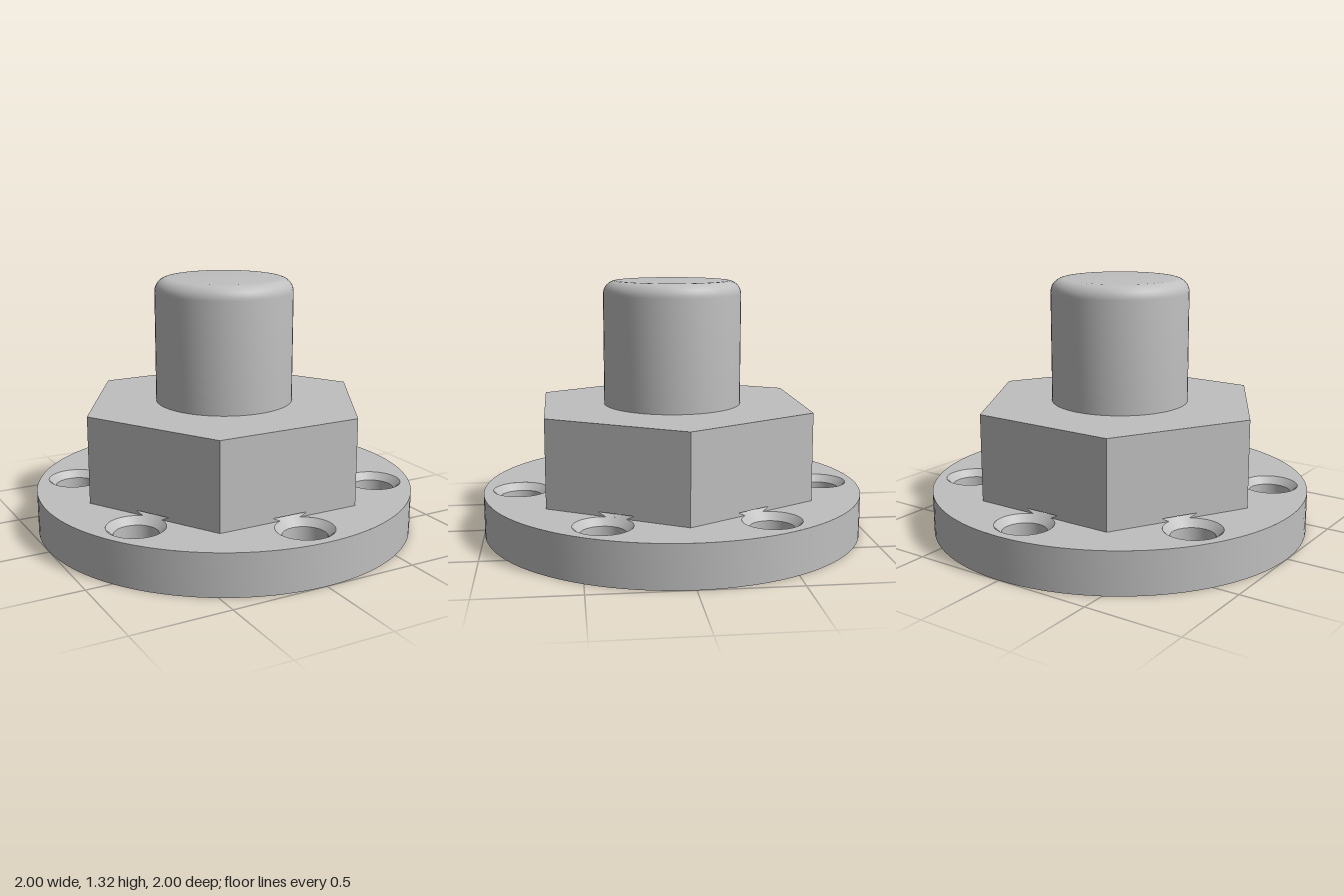
import * as THREE from 'three';
import { toCreasedNormals } from 'three/addons/utils/BufferGeometryUtils.js';

const FLANGE_H = 0.22, SEG = 64;
const HEX_R = 0.775, HEX_A = HEX_R * Math.cos(Math.PI / 6), HEX_TOP = 0.675;
const POCKET_R = 0.67, POCKET_TOP = 0.545;
const BOLT_D = 0.806, HOLE_R = 0.11, SINK_R = 0.146, SINK_H = SINK_R - HOLE_R;
const NOTCH_H = 0.02;

// Profile points [radius, y]: rising faces outwards, falling faces inwards
function lathe(points, segments = SEG) {
  const profile = points.map(([r, y]) => new THREE.Vector2(r, y));
  return toCreasedNormals(new THREE.LatheGeometry(profile, segments), 0.5);
}

// Flange face with the six bolt holes and, optionally, the hexagonal pocket
function flangeFace() {
  const shape = new THREE.Shape().absarc(0, 0, 1, 0, Math.PI * 2);
  for (let k = 0; k < 6; k++) {
    const a = Math.PI / 6 + k * Math.PI / 3;
    shape.holes.push(new THREE.Path().absarc(BOLT_D * Math.cos(a), BOLT_D * Math.sin(a), SINK_R, 0, Math.PI * 2, true));
  }
  const corners = [];
  for (let k = 0; k < 6; k++) {
    const a = k * Math.PI / 3;
    corners.push(new THREE.Vector2(POCKET_R * Math.cos(a), POCKET_R * Math.sin(a)));
  }
  shape.holes.push(new THREE.Path(corners));
  return new THREE.ShapeGeometry(shape, SEG);
}

// One hexagon cross-section; each side carries an arc where the countersink bites in
function hexRing(y, cutR, notched, scale = 1) {
  const ring = [], steps = 8, gap = BOLT_D - HEX_A, span = Math.acos(gap / cutR);
  for (let k = 0; k < 6; k++) {
    const phi = Math.PI / 6 + k * Math.PI / 3, c = Math.cos(phi), s = Math.sin(phi);
    const add = (u, d) => ring.push([scale * (d * c - u * s), y, scale * (d * s + u * c)]);
    add(-HEX_R / 2, HEX_A);
    for (let i = 0; i <= steps; i++) {
      const a = span * (2 * i / steps - 1);
      add(cutR * Math.sin(a), notched ? BOLT_D - cutR * Math.cos(a) : HEX_A);
    }
  }
  return ring;
}

function loft(rings) {
  const n = rings[0].length, index = [];
  for (let r = 0; r < rings.length - 1; r++) {
    for (let i = 0; i < n; i++) {
      const j = (i + 1) % n;
      const a = r * n + i, b = r * n + j, c = b + n, d = a + n;
      index.push(a, d, c, a, c, b);
    }
  }
  const geo = new THREE.BufferGeometry();
  geo.setAttribute('position', new THREE.Float32BufferAttribute(rings.flat(2), 3));
  geo.setIndex(index);
  return toCreasedNormals(geo, 0.5);
}

export function createModel() {
  const model = new THREE.Group();
  model.name = 'hexFlange';
  const steel = new THREE.MeshStandardMaterial({ color: 0xbfbfbf });
  steel.name = 'steelGrey';
  const add = (name, geo) => {
    const mesh = new THREE.Mesh(geo, steel);
    mesh.name = name;
    model.add(mesh);
    return mesh;
  };

  // Round flange: two faces and a rim
  add('flangeTop', flangeFace().rotateX(-Math.PI / 2).translate(0, FLANGE_H, 0));
  add('flangeBottom', flangeFace().rotateX(Math.PI / 2));
  add('flangeRim', lathe([[1, 0], [1, FLANGE_H]], 96));

  // Bolt holes, chamfered at both ends
  const holeGeo = lathe([[SINK_R, FLANGE_H], [HOLE_R, FLANGE_H - SINK_H], [HOLE_R, SINK_H], [SINK_R, 0]]);
  for (let k = 0; k < 6; k++) {
    const a = Math.PI / 6 + k * Math.PI / 3;
    add('boltHole', holeGeo).position.set(BOLT_D * Math.cos(a), 0, BOLT_D * Math.sin(a));
  }

  // Hexagonal body with small countersink notches at its foot
  const notchY = FLANGE_H + NOTCH_H, notchR = SINK_R + NOTCH_H;
  add('hexBody', loft([
    hexRing(FLANGE_H, SINK_R, true),
    hexRing(notchY, notchR, true),
    hexRing(notchY, notchR, false),
    hexRing(HEX_TOP, notchR, false),
    hexRing(HEX_TOP, notchR, false, 0),
  ]));

  // Hexagonal pocket open at the bottom
  add('hexPocket', lathe([[0, POCKET_TOP], [POCKET_R, POCKET_TOP], [POCKET_R, 0]], 6).rotateY(Math.PI / 6));

  // Round shaft with a filleted top edge
  const R = 0.36, top = 1.32, fillet = 0.07, profile = [[R, HEX_TOP]];
  for (let i = 0; i <= 8; i++) {
    const a = i / 8 * Math.PI / 2;
    profile.push([R - fillet + fillet * Math.cos(a), top - fillet + fillet * Math.sin(a)]);
  }
  profile.push([0, top]);
  add('shaft', lathe(profile));

  return model;
}
